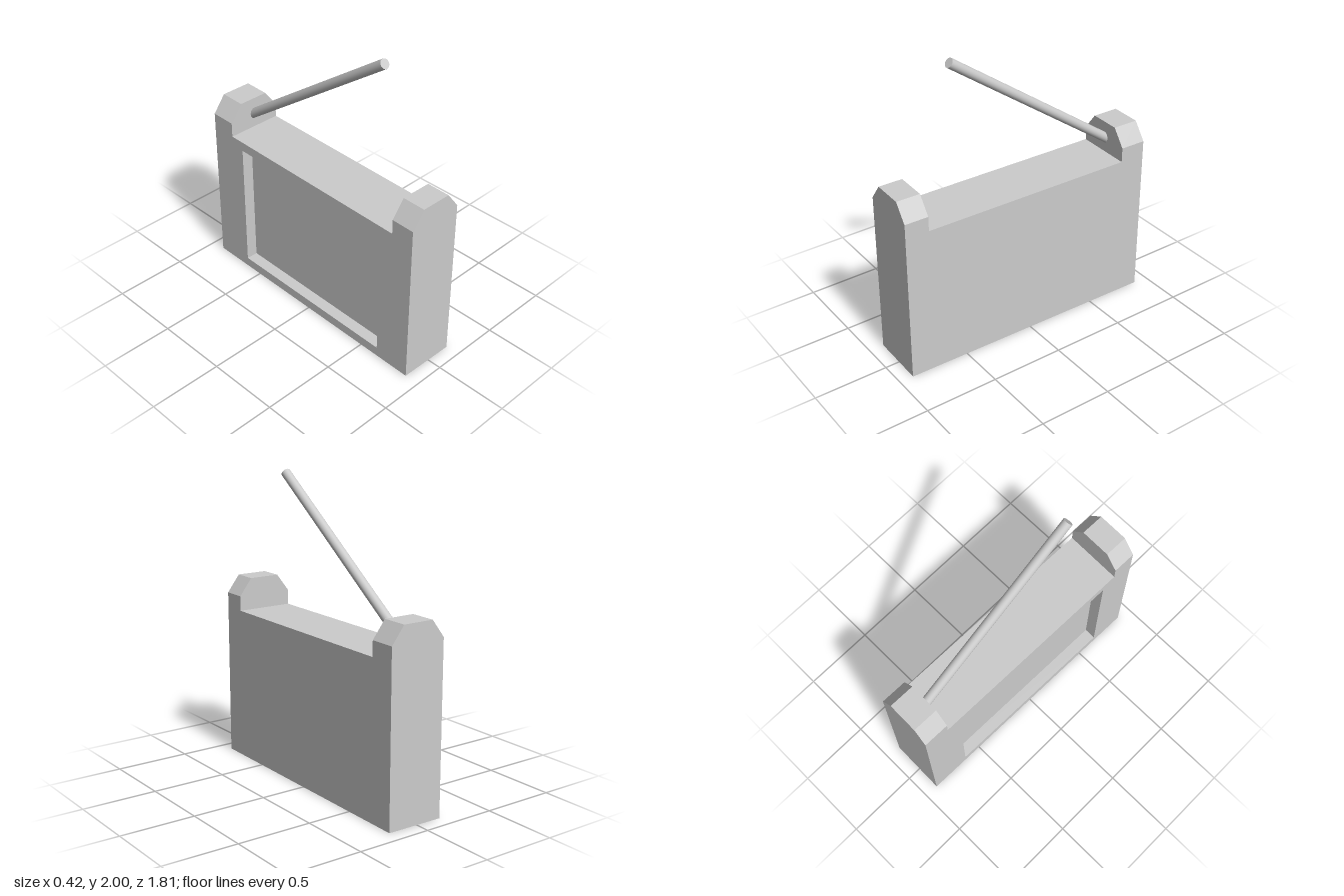
import * as THREE from 'three';

const HALF_W = 0.192; // half thickness of the body
const END = 0.902;    // half length of the body
const LEDGE = 1.03;   // height of the top between the posts

export function createModel() {
  const model = new THREE.Group();
  model.name = 'model';
  const flat = new THREE.MeshStandardMaterial({ color: 0xcccccc, flatShading: true });
  const smooth = new THREE.MeshStandardMaterial({ color: 0xcccccc });

  const add = (name, geometry, material = flat) => {
    const mesh = new THREE.Mesh(geometry, material);
    mesh.name = name;
    model.add(mesh);
    return mesh;
  };
  const polygon = (pts) => pts.map(([x, y]) => new THREE.Vector2(x, y));
  const rect = (a, b, c, d) => polygon([[a, c], [b, c], [b, d], [a, d]]);

  // End posts with chamfered tops
  const postProfile = new THREE.Shape(polygon([
    [-HALF_W, 0], [HALF_W, 0], [HALF_W, 1.13], [0.105, 1.245], [-0.105, 1.245], [-HALF_W, 1.13],
  ]));
  const addPost = (name, z0, z1) => {
    const geometry = new THREE.ExtrudeGeometry(postProfile, { depth: z1 - z0, bevelEnabled: false });
    add(name, geometry.translate(0, 0, z0));
  };
  const frontInner = 0.741, backInner = -0.725;
  addPost('frontPost', frontInner, END);
  addPost('backPost', -END, backInner);

  // Solid core between the posts
  const recessDepth = 0.08;
  const coreW = 2 * HALF_W - recessDepth;
  const coreL = frontInner - backInner;
  add('core', new THREE.BoxGeometry(coreW, LEDGE, coreL))
    .position.set(recessDepth / 2, LEDGE / 2, (frontInner + backInner) / 2);

  // Frame around the recessed panel on the -x side
  const frame = new THREE.Shape(rect(backInner, frontInner, 0, LEDGE));
  frame.holes.push(new THREE.Path(rect(-0.625, 0.645, 0.065, 0.965)));
  const frameGeometry = new THREE.ExtrudeGeometry(frame, { depth: recessDepth, bevelEnabled: false });
  frameGeometry.rotateY(-Math.PI / 2).translate(-HALF_W + recessDepth, 0, 0);
  add('recessFrame', frameGeometry);

  // Slanted rod rising from the back post
  const base = new THREE.Vector3(0.004, 1.08, -0.8);
  const tip = new THREE.Vector3(0.004, 1.975, 0.455);
  const axis = tip.clone().sub(base);
  const rod = add('rod', new THREE.CylinderGeometry(0.032, 0.032, axis.length(), 20), smooth);
  rod.position.copy(base).add(tip).multiplyScalar(0.5);
  rod.quaternion.setFromUnitVectors(new THREE.Vector3(0, 1, 0), axis.normalize());

  // Whole body is turned very slightly about the vertical
  model.rotation.y = -0.018;
  const root = new THREE.Group();
  root.name = 'root';
  root.add(model);
  return root;
}
